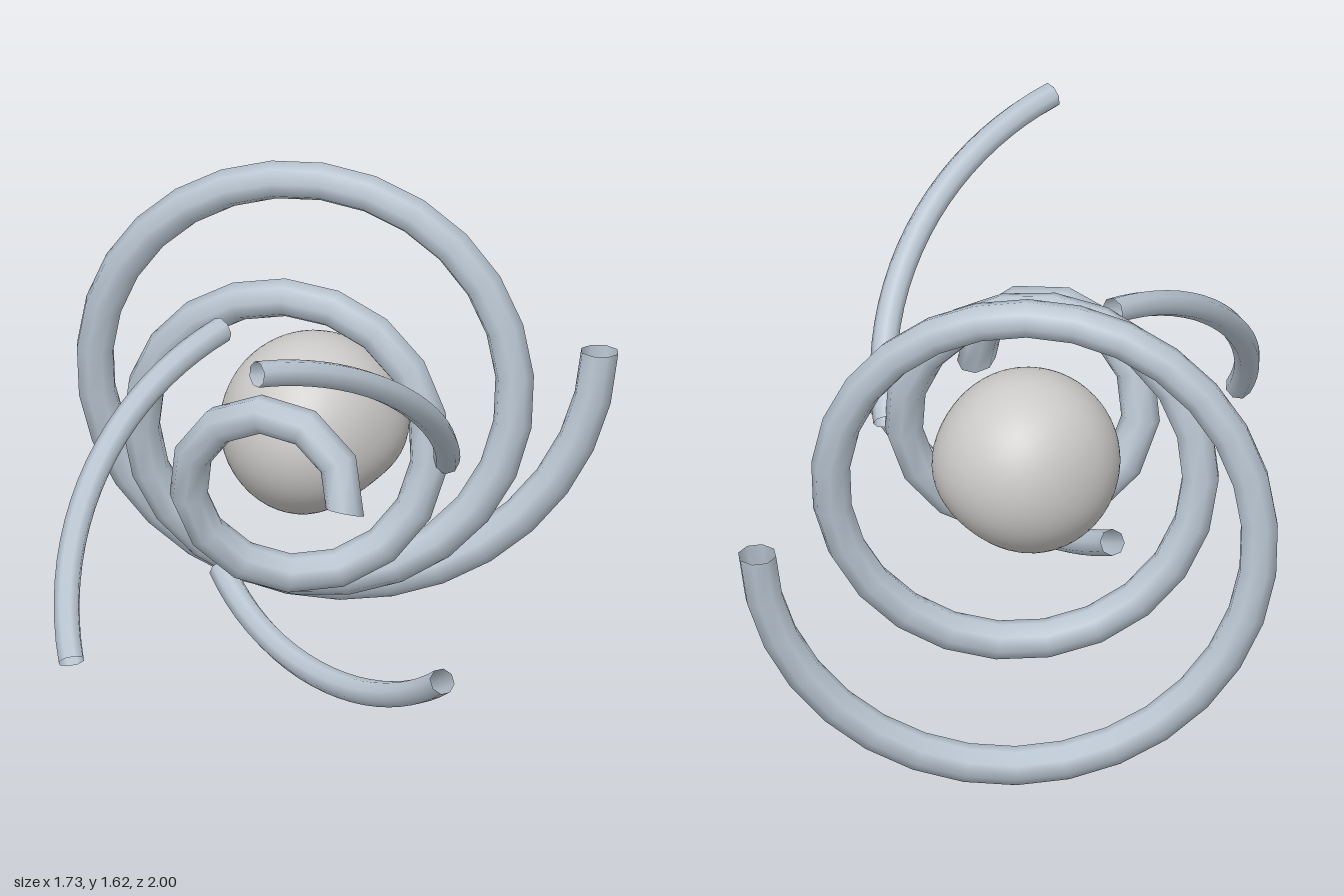
import * as THREE from 'three';
import { mergeVertices } from 'three/addons/utils/BufferGeometryUtils.js';

const CX = -0.057, CY = 0.877; // spiral axis, running along z

// Path winding around the axis while radius and depth change evenly
class Spiral extends THREE.Curve {
  constructor(a0, a1, r0, r1, z0, z1) {
    super();
    Object.assign(this, { a0, a1, r0, r1, z0, z1 });
  }
  getPoint(t, target = new THREE.Vector3()) {
    const a = THREE.MathUtils.lerp(this.a0, this.a1, t);
    const r = THREE.MathUtils.lerp(this.r0, this.r1, t);
    const z = THREE.MathUtils.lerp(this.z0, this.z1, t);
    return target.set(CX + r * Math.cos(a), CY + r * Math.sin(a), z);
  }
}

// Lumpy ball: a sphere pressed in (or out) around a few directions
function lumpyBall(radius) {
  let geo = new THREE.IcosahedronGeometry(1, 10);
  geo.deleteAttribute('normal');
  geo.deleteAttribute('uv');
  geo = mergeVertices(geo, 1e-4);
  const lumps = [
    [0.58, -0.8, 0.1, -0.045],
    [-0.65, 0.1, -0.75, -0.018],
    [0.75, 0.1, 0.6, -0.022],
    [0.95, -0.15, -0.2, 0.012],
    [-0.1, 0.0, 1, 0.008],
  ].map(([x, y, z, d]) => ({ dir: new THREE.Vector3(x, y, z).normalize(), d }));
  const pos = geo.attributes.position, v = new THREE.Vector3();
  for (let i = 0; i < pos.count; i++) {
    v.fromBufferAttribute(pos, i).normalize();
    let r = radius;
    for (const { dir, d } of lumps) r += d * Math.exp(-(1 - v.dot(dir)) * 6);
    v.multiplyScalar(r);
    pos.setXYZ(i, v.x, v.y, v.z);
  }
  geo.computeVertexNormals();
  return geo;
}

export function createModel() {
  const model = new THREE.Group();
  const steel = new THREE.MeshStandardMaterial({ color: 0xb8c4d0, side: THREE.DoubleSide });
  steel.name = 'paleBlueGrey';
  const stone = new THREE.MeshStandardMaterial({ color: 0xcccac8 });
  stone.name = 'warmGrey';

  const add = (name, geometry, material) => {
    const mesh = new THREE.Mesh(geometry, material);
    mesh.name = name;
    model.add(mesh);
    return mesh;
  };

  // Core ball
  add('core', lumpyBall(0.303), stone).position.set(-0.035, 0.875, -0.245);

  // Main coil: three widening turns, open at both ends
  const coil = new Spiral(0, Math.PI * 6, 0.217, 0.857, 0.45, -0.94);
  add('coil', new THREE.TubeGeometry(coil, 64, 0.063, 8), steel);

  // Three quarter-turn tendrils sweeping forward
  for (let i = 0; i < 3; i++) {
    const a = (i * Math.PI * 2) / 3;
    const path = new Spiral(a, a + Math.PI / 2, 0.485, 0.695, 0, 0.963);
    add('tendril' + (i + 1), new THREE.TubeGeometry(path, 20, 0.043, 8), steel);
  }
  return model;
}
